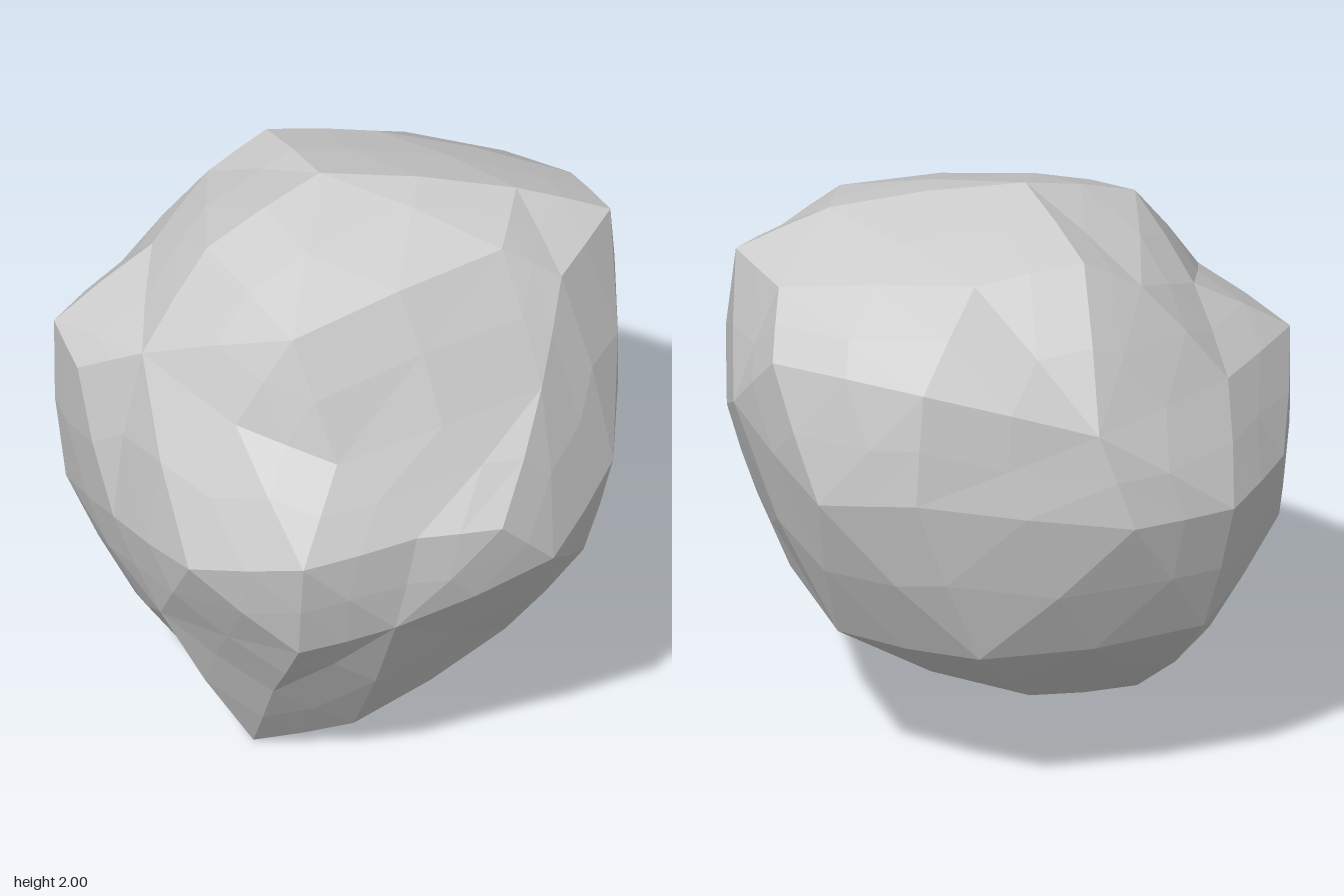
import * as THREE from 'three';
import { ConvexGeometry } from 'three/addons/geometries/ConvexGeometry.js';

const CENTRE = new THREE.Vector3(0, 1, 0);
const BULGE = 0.3; // 0 = flat facets, 1 = fully rounded between corners

// Main corners of the rock, from crown to foot
const CORNERS = [
  // crown
  [-0.07, 2, -0.03], [0.57, 1.93, -0.15], [0.87, 1.81, -0.25], [0.76, 1.75, 0.08],
  [0.57, 1.88, 0.14], [-0.4, 1.86, 0.26], [-0.06, 1.75, 0.59], [-0.63, 1.66, -0.02],
  [-0.49, 1.77, -0.31], [-0.31, 1.89, -0.41], [0.04, 1.84, -0.53], [0.7, 1.78, -0.48],
  // front, with the notch and ledge
  [0.73, 1.45, 0.3], [0.11, 1.35, 0.71], [0.03, 1.05, 0.91],
  [0.38, 1.09, 0.72], [0.65, 1.09, 0.62], [0.8, 0.9, 0.49], [-0.59, 1.53, 0.43],
  [-0.24, 1.43, 0.65], [-0.68, 0.89, 0.47], [-0.37, 0.95, 0.82], [0, 0.66, 0.83],
  [0.31, 0.73, 0.73],
  // sides
  [0.94, 1.06, 0.12], [0.85, 0.73, 0.18], [0.86, 1.32, -0.4], [-0.93, 1.44, 0.16],
  [-0.82, 1.39, 0.35], [-0.94, 1.09, -0.11], [-0.9, 0.78, 0.1], [-0.82, 1.06, -0.49],
  [-0.77, 1.42, -0.24],
  // back
  [0.7, 1.58, -0.65], [0.17, 1.59, -0.88], [0.19, 1.2, -0.91], [0.53, 1.14, -0.8],
  [-0.4, 1.41, -0.74], [-0.52, 1.08, -0.74], [0, 0.58, -0.74],
  [-0.71, 0.6, -0.42], [0.5, 0.55, -0.5],
  // tapering foot
  [-0.12, 0.35, 0.62], [-0.51, 0.57, 0.54], [-0.22, 0, 0.41], [0.12, 0.12, 0.43],
  [0.59, 0.4, 0.21], [-0.66, 0.36, 0.14], [-0.42, 0.11, 0.15], [-0.1, 0.2, -0.17],
].map((p) => new THREE.Vector3(...p).sub(CENTRE));

// Midpoint of an edge, pushed part of the way out to a rounded surface
function edgePoint(a, b) {
  const mid = a.clone().add(b).multiplyScalar(0.5);
  const chord = mid.length();
  const round = (a.length() + b.length()) / 2;
  return mid.setLength(chord + Math.max(0, round - chord) * BULGE);
}

function rockGeometry() {
  // Triangulate the corner directions on a sphere, so hollows survive
  const directions = CORNERS.map((c) => c.clone().normalize());
  const hull = new ConvexGeometry(directions).getAttribute('position');
  const cornerAt = (i) => {
    const d = new THREE.Vector3().fromBufferAttribute(hull, i);
    let best = 0;
    directions.forEach((e, k) => {
      if (e.dot(d) > directions[best].dot(d)) best = k;
    });
    return CORNERS[best];
  };

  // Split every triangle into four smaller facets
  const points = [];
  for (let i = 0; i < hull.count; i += 3) {
    const [a, b, c] = [cornerAt(i), cornerAt(i + 1), cornerAt(i + 2)];
    const [ab, bc, ca] = [edgePoint(a, b), edgePoint(b, c), edgePoint(c, a)];
    points.push(a, ab, ca, ab, b, bc, ca, bc, c, ab, bc, ca);
  }
  const geometry = new THREE.BufferGeometry().setFromPoints(points);
  geometry.translate(CENTRE.x, CENTRE.y, CENTRE.z);
  geometry.computeVertexNormals();
  return geometry;
}

export function createModel() {
  const group = new THREE.Group();
  group.name = 'rock';
  const boulder = new THREE.Mesh(
    rockGeometry(),
    new THREE.MeshStandardMaterial({ color: 0xcccccc, flatShading: true }),
  );
  boulder.name = 'boulder';
  group.add(boulder);
  return group;
}
